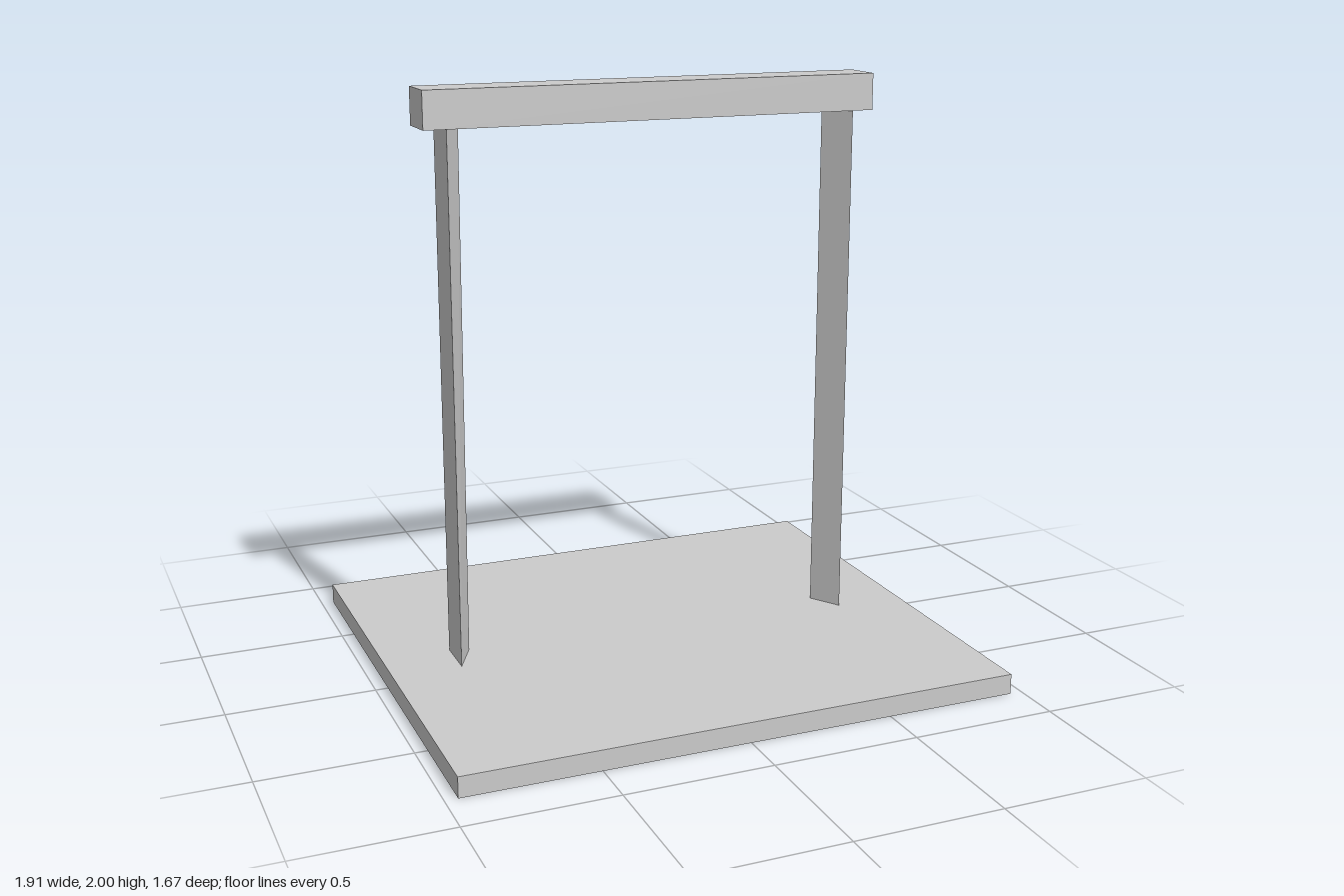
import * as THREE from 'three';

const material = new THREE.MeshStandardMaterial({ color: 0xcccccc, flatShading: true, side: THREE.DoubleSide });

function add(group, name, geometry, x = 0, y = 0, z = 0) {
  const mesh = new THREE.Mesh(geometry, material);
  mesh.name = name;
  mesh.position.set(x, y, z);
  group.add(mesh);
}

// Open three-sided prism; corners are [x, z], going from bottom ring to top ring.
function postGeometry(bottom, top, y0, y1) {
  const positions = [];
  for (let i = 0; i < 3; i++) {
    const j = (i + 1) % 3;
    const a = [bottom[i][0], y0, bottom[i][1]];
    const b = [bottom[j][0], y0, bottom[j][1]];
    const c = [top[j][0], y1, top[j][1]];
    const d = [top[i][0], y1, top[i][1]];
    positions.push(...a, ...b, ...c, ...a, ...c, ...d);
  }
  const geometry = new THREE.BufferGeometry();
  geometry.setAttribute('position', new THREE.Float32BufferAttribute(positions, 3));
  geometry.computeVertexNormals();
  return geometry;
}

export function createModel() {
  const model = new THREE.Group();
  model.name = 'gateFrame';

  // Base: thin tray, open underneath (bottom face left out)
  const base = new THREE.BoxGeometry(1.915, 0.07, 1.67);
  const index = Array.from(base.index.array);
  index.splice(18, 6);
  base.setIndex(index);
  base.clearGroups();
  add(model, 'base', base, 0, 0.035, 0);

  // Posts: flat outer face, inner corner set towards the back, ends poking through the base
  add(model, 'rightPost', postGeometry(
    [[-0.72, -0.075], [-0.72, 0.075], [-0.655, -0.055]],
    [[-0.72, -0.075], [-0.72, 0.075], [-0.645, -0.055]], 0.035, 1.876));
  const leftCorners = [[0.715, 0.075], [0.715, -0.075], [0.65, -0.03]];
  add(model, 'leftPost', postGeometry(leftCorners, leftCorners, 0.035, 1.876));

  // Beam across the posts
  add(model, 'beam', new THREE.BoxGeometry(1.585, 0.125, 0.152), -0.003, 1.9375, 0);

  return model;
}
